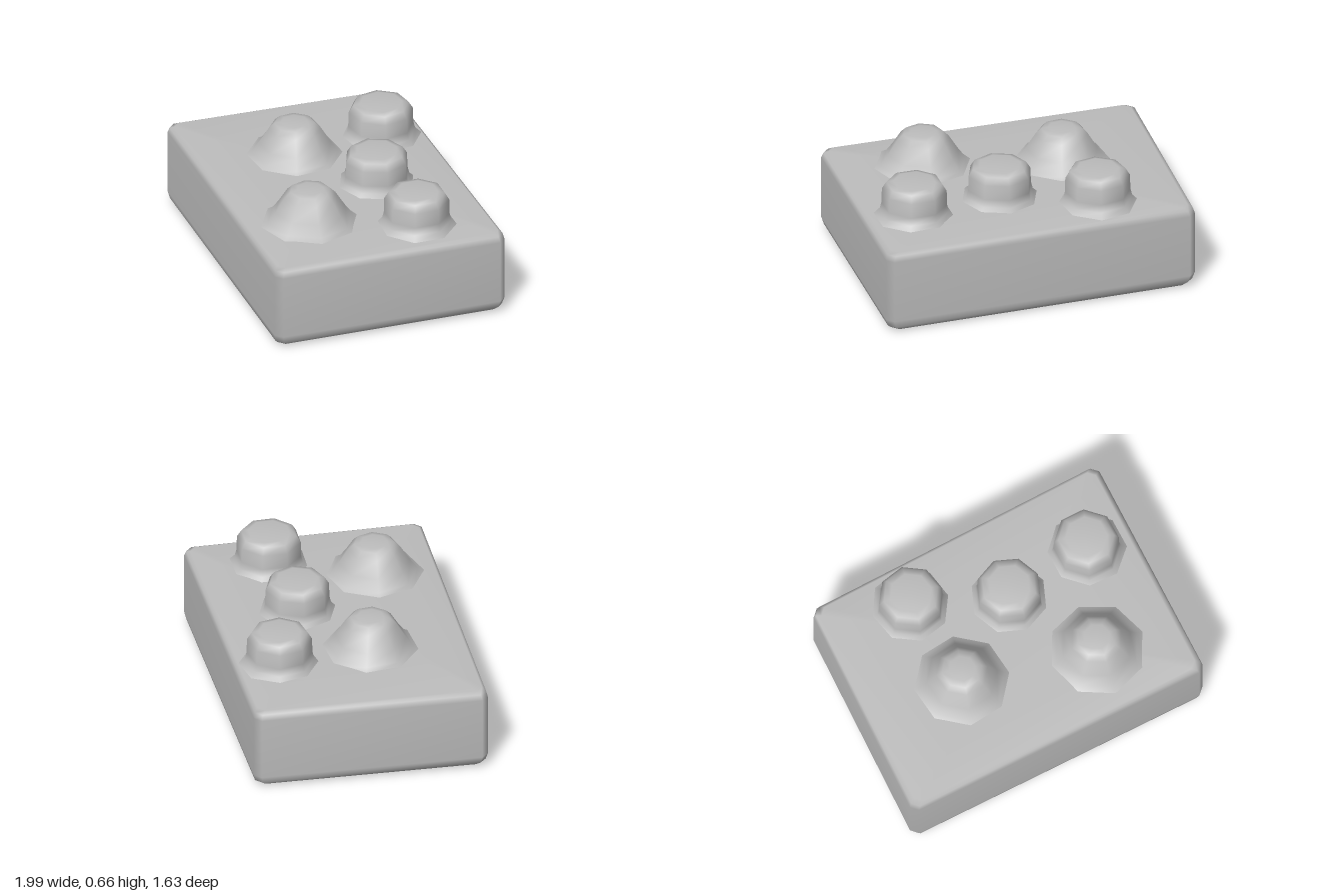
import * as THREE from 'three';
import { mergeVertices } from 'three/addons/utils/BufferGeometryUtils.js';

// Smooth skin over rings of equal length, each counter-clockwise seen from above
function loft(rings) {
  const n = rings[0].length;
  const index = [];
  for (let r = 0; r < rings.length - 1; r++) {
    for (let i = 0; i < n; i++) {
      const j = (i + 1) % n;
      const a = r * n + i, b = r * n + j, c = a + n, d = b + n;
      index.push(a, b, d, a, d, c);
    }
  }
  const geometry = new THREE.BufferGeometry();
  geometry.setAttribute('position', new THREE.Float32BufferAttribute(rings.flat(2), 3));
  geometry.setIndex(index);
  const merged = mergeVertices(geometry, 1e-5);
  merged.computeVertexNormals();
  return merged;
}

// Slab outline: four corners, each slightly cut
function slabOutline() {
  const corners = [[-1.005, 0.33], [0.625, 0.82], [1.005, -0.375], [-0.61, -0.83]];
  const cut = 0.035;
  const points = [];
  corners.forEach((corner, i) => {
    const here = new THREE.Vector2(...corner);
    for (const k of [3, 1]) {
      const towards = new THREE.Vector2(...corners[(i + k) % 4]).sub(here).setLength(cut);
      points.push(here.clone().add(towards));
    }
  });
  return points;
}

function slabGeometry() {
  const outline = slabOutline();
  // [height, scale] from the underside centre up to the top centre
  const profile = [
    [0.005, 0], [0.005, 0.6], [0.012, 0.955], [0.035, 0.985], [0.075, 1],
    [0.42, 1], [0.45, 0.988], [0.463, 0.96], [0.472, 0.6], [0.472, 0],
  ];
  return loft(profile.map(([y, s]) => outline.map((p) => [p.x * s, y, p.y * s])));
}

// Faceted round knob standing on the slab, given as [radius, height] steps
function knobGeometry(profile, sides, turn) {
  return loft(profile.map(([r, y]) => Array.from({ length: sides }, (_, i) => {
    const t = turn + (i / sides) * Math.PI * 2;
    return [Math.cos(t) * r, y, -Math.sin(t) * r];
  })));
}

export function createModel() {
  const model = new THREE.Group();
  model.name = 'studdedBlock';
  const grey = new THREE.MeshStandardMaterial({ color: 0xbcbcbc });
  grey.name = 'plain grey';

  const add = (name, geometry, x = 0, z = 0) => {
    const mesh = new THREE.Mesh(geometry, grey);
    mesh.name = name;
    mesh.position.set(x, 0, z);
    model.add(mesh);
  };

  add('slab', slabGeometry());

  // Upright studs with a small flare at the foot
  const upright = [[0.215, 0.46], [0.18, 0.49], [0.17, 0.53], [0.168, 0.61], [0.145, 0.648], [0.11, 0.657], [0, 0.66]];
  const studs = [[-0.23, -0.48, 0.3], [0.165, -0.16, 0.5], [0.635, -0.07, 0.1]];
  studs.forEach(([x, z, turn], i) => add(`stud${i + 1}`, knobGeometry(upright, 8, turn), x, z));

  // Softer mounds with sloping sides
  const sloping = [[0.27, 0.46], [0.225, 0.485], [0.185, 0.54], [0.135, 0.62], [0.105, 0.65], [0.07, 0.657], [0, 0.66]];
  const mounds = [[0.29, 0.36, 0.4], [-0.33, 0.0, 0.2]];
  mounds.forEach(([x, z, turn], i) => add(`mound${i + 1}`, knobGeometry(sloping, 8, turn), x, z));

  return model;
}
